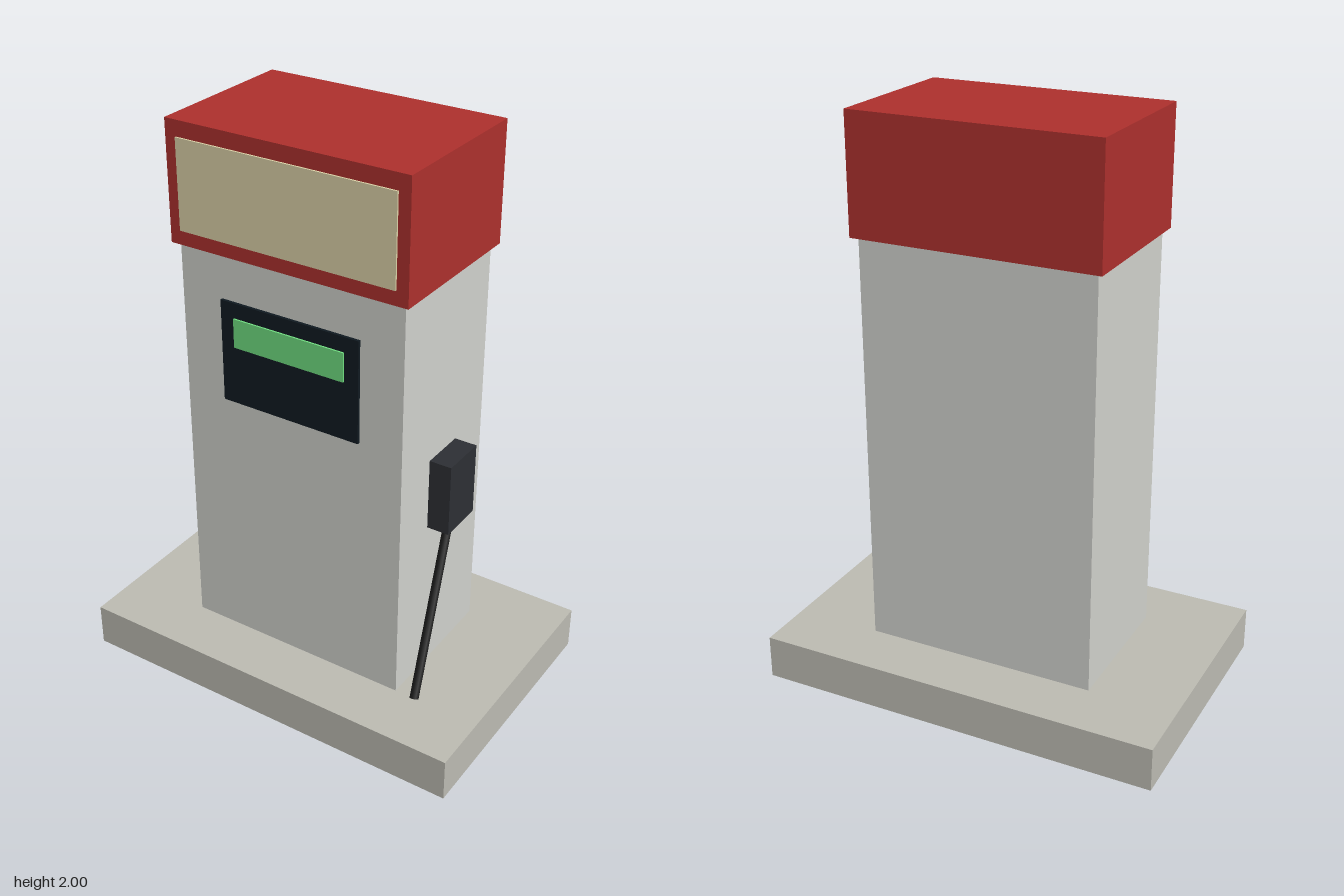
import * as THREE from 'three';

export function createModel() {
  const pump = new THREE.Group();
  pump.name = 'fuelPump';

  const add = (name, geometry, color) => {
    const mesh = new THREE.Mesh(
      geometry,
      new THREE.MeshStandardMaterial({ color }),
    );
    mesh.name = name;
    pump.add(mesh);
    return mesh;
  };

  // Box given by its extents along each axis
  const box = (name, color, [x0, x1], [y0, y1], [z0, z1]) =>
    add(name, new THREE.BoxGeometry(x1 - x0, y1 - y0, z1 - z0), color)
      .position.set((x0 + x1) / 2, (y0 + y1) / 2, (z0 + z1) / 2);

  // Plinth, cabinet and overhanging head
  box('base', 0xbcbbb2, [-0.717, 0.717], [0, 0.154], [-0.461, 0.461]);
  box('cabinet', 0xd0d1cc, [-0.41, 0.41], [0.154, 1.595], [-0.256, 0.256]);
  box('head', 0xad302d, [-0.43, 0.43], [1.595, 2], [-0.277, 0.277]);

  // Thin panels on the front face
  box('signPanel', 0xdcd2a8, [-0.389, 0.389], [1.645, 1.947], [0.262, 0.283]);
  box('meterPanel', 0x101a21, [-0.256, 0.256], [1.08, 1.438], [0.246, 0.266]);
  box('display', 0x70de80, [-0.205, 0.205], [1.285, 1.386], [0.256, 0.272]);

  // Nozzle holster on the left side
  box('holster', 0x2d2f34, [0.407, 0.488], [0.72, 0.975], [-0.082, 0.082]);

  // Straight hose slanting down and forward from the holster
  const top = new THREE.Vector3(0.45, 0.758, 0);
  const end = new THREE.Vector3(0.51, 0.207, 0.307);
  const along = end.clone().sub(top);
  const hose = add('hose', new THREE.CylinderGeometry(0.016, 0.016, along.length(), 8), 0x1a1a1a);
  hose.position.copy(top).add(end).multiplyScalar(0.5);
  hose.quaternion.setFromUnitVectors(new THREE.Vector3(0, -1, 0), along.normalize());

  return pump;
}
